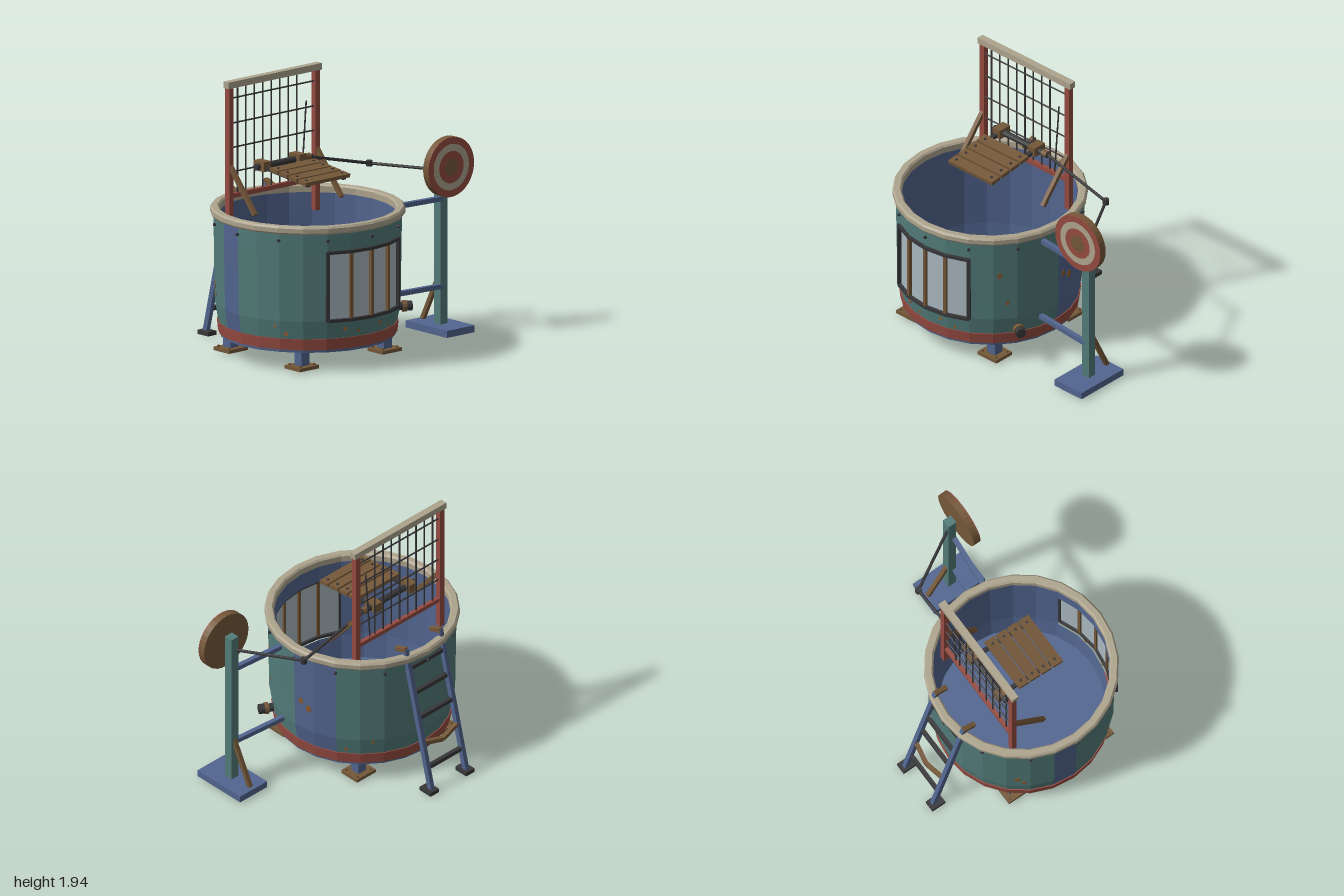
import * as THREE from 'three';

const mat = (name, color, side = THREE.FrontSide) => new THREE.MeshStandardMaterial({ name, color, side });
const V = (x, y, z) => new THREE.Vector3(x, y, z);
const DEG = Math.PI / 180;

export function createModel() {
  const teal = mat('teal paint', 0x527c79), blue = mat('blue paint', 0x52658f), red = mat('red paint', 0x954b41);
  const cream = mat('cream paint', 0xaea48e), brown = mat('brown wood', 0x755839), dark = mat('dark iron', 0x37373a);
  const pane = mat('window glass', 0xa9b8bf, THREE.DoubleSide), rust = mat('rust', 0x86592f);
  const root = new THREE.Group();
  const tank = new THREE.Group();
  tank.name = 'tank';
  tank.position.set(-0.32, 0, 0.115);
  root.add(tank);

  // Faceted mesh helper
  const add = (name, geo, m, parent = root) => {
    const g = geo.index ? geo.toNonIndexed() : geo;
    g.computeVertexNormals();
    const mesh = new THREE.Mesh(g, m);
    mesh.name = name;
    parent.add(mesh);
    return mesh;
  };
  const box = (name, w, h, d, x, y, z, m, parent) => {
    const b = add(name, new THREE.BoxGeometry(w, h, d), m, parent);
    b.position.set(x, y, z);
    return b;
  };
  // Square beam or round rod between two points
  const span = (name, geo, a, b, m) => {
    const s = add(name, geo, m);
    s.position.copy(a).add(b).multiplyScalar(0.5);
    s.lookAt(b);
    return s;
  };
  const beam = (name, a, b, w, h, m) => span(name, new THREE.BoxGeometry(w, h, a.distanceTo(b)), a, b, m);
  const rod = (name, a, b, r, m, n = 8) =>
    span(name, new THREE.CylinderGeometry(r, r, a.distanceTo(b), n).rotateX(Math.PI / 2), a, b, m);
  // Part of a 24-sided shell, angles in degrees from the front
  const shell = (name, pts, from, to, m) =>
    add(name, new THREE.LatheGeometry(pts.map(p => new THREE.Vector2(p[0], p[1])), (to - from) / 15,
      from * DEG, (to - from) * DEG), m, tank);
  // Put a mesh on the tank at an angle, facing outwards
  const onWall = (mesh, az, r, y) => {
    mesh.position.set(r * Math.sin(az * DEG), y, r * Math.cos(az * DEG));
    mesh.rotation.y = az * DEG;
    return mesh;
  };

  // Tank walls, with an opening for the window
  const outer = [[0.627, 0.23], [0.65, 0.37], [0.652, 0.5], [0.658, 0.87], [0.66, 1.01]];
  const inner = [[0.625, 1.01], [0.622, 0.87], [0.614, 0.37], [0.59, 0.18]];
  [[30, 90, teal], [90, 120, blue], [120, 255, teal], [255, 270, blue], [270, 330, teal]]
    .forEach(([a, b, m]) => shell('tankWall', outer, a, b, m));
  shell('tankInnerWall', inner, 30, 330, blue);
  shell('wallBelowWindow', outer.slice(0, 2), -30, 30, teal);
  shell('wallAboveWindow', outer.slice(3), -30, 30, teal);
  shell('innerWallAboveWindow', inner.slice(0, 2), -30, 30, blue);
  shell('innerWallBelowWindow', inner.slice(2), -30, 30, blue);
  shell('tankFloor', [[0, 0.14], [0.617, 0.14], [0.62, 0.17], [0.6, 0.18], [0, 0.18]], 0, 360, blue);
  shell('lowerBand', [[0.6, 0.16], [0.628, 0.16], [0.636, 0.24], [0.6, 0.24], [0.6, 0.16]], 0, 360, red);
  shell('rim', [[0.62, 1], [0.676, 1], [0.684, 1.012], [0.684, 1.043], [0.672, 1.057], [0.632, 1.057],
    [0.62, 1.045], [0.62, 1]], 0, 360, cream);

  // Window: panes, mullions and frame
  for (let i = 0; i < 5; i++) {
    const az = -30 + 15 * i, edge = i % 4 === 0;
    onWall(box('windowPost', 0.024, 0.5, 0.045, 0, 0, 0, edge ? dark : brown, tank), az, 0.653, 0.62);
    if (i === 4) break;
    onWall(box('windowPane', 0.168, 0.49, 0.008, 0, 0, 0, pane, tank), az + 7.5, 0.645, 0.62);
    for (const y of [0.375, 0.865])
      onWall(box('windowFrame', 0.177, 0.022, 0.05, 0, 0, 0, dark, tank), az + 7.5, 0.648, y);
  }

  // Bolts under the rim
  for (let i = 0; i < 12; i++)
    onWall(add('bolt', new THREE.CylinderGeometry(0.011, 0.011, 0.03, 8).rotateX(Math.PI / 2), dark, tank),
      i * 30, 0.66, 0.95);

  // Rust spots lie flat on their facet
  [[-18, 0.31, 0.018], [-8, 0.28, 0.013], [10, 0.31, 0.016], [-56, 0.28, 0.02], [-63, 0.33, 0.012], [49, 0.73, 0.022],
    [54, 0.5, 0.017], [95, 0.6, 0.024], [101, 0.56, 0.028], [126, 0.28, 0.016], [143, 0.35, 0.014],
    [232, 0.5, 0.028], [236, 0.44, 0.02], [20, 0.27, 0.012]].forEach(([az, y, s]) => {
    const mid = Math.floor(az / 15) * 15 + 7.5;
    const low = y < 0.37;
    const r = (low ? 0.627 + (y - 0.23) * 0.164 : 0.65 + (y - 0.37) * 0.016) * Math.cos(7.5 * DEG);
    const spot = onWall(add('rustSpot', new THREE.CylinderGeometry(s, s, 0.006, 7).rotateX(Math.PI / 2)
      .scale(0.85, 1.1, 1).rotateX(low ? -0.163 : -0.016), rust, tank), mid, r, y);
    const t = r * Math.tan((az - mid) * DEG);
    spot.position.x += t * Math.cos(mid * DEG);
    spot.position.z -= t * Math.sin(mid * DEG);
  });

  // Drain spout
  [[0.03, 0.64, 0.7, dark], [0.042, 0.675, 0.705, brown], [0.036, 0.7, 0.745, dark]].forEach(([s, a, b, m]) =>
    onWall(add('drainSpout', new THREE.CylinderGeometry(s, s, b - a, 12).rotateX(Math.PI / 2), m, tank),
      60, (a + b) / 2, 0.295));

  // Tank legs
  for (const x of [-0.39, 0.39]) for (const z of [-0.37, 0.37]) {
    box('tankLeg', 0.075, 0.12, 0.075, x, 0.09, z, blue, tank);
    box('tankFoot', 0.18, 0.025, 0.16, x, 0.0225, z, brown, tank);
    for (const s of [-1, 1]) for (const t of [-1, 1])
      add('footBolt', new THREE.CylinderGeometry(0.01, 0.01, 0.015, 6), brown, tank)
        .position.set(x + s * 0.065, 0.04, z + t * 0.055);
  }

  // Ladder
  const railZ = y => -0.5 - 0.245 * (1.08 - y);
  for (const x of [-0.485, -0.15]) {
    beam('ladderRail', V(x, 0.02, railZ(0.02)), V(x, 1.1, railZ(1.1)), 0.032, 0.04, blue);
    beam('ladderHook', V(x, 1.1, -0.51), V(x, 1.063, -0.41), 0.034, 0.03, brown);
    box('ladderFoot', 0.08, 0.03, 0.11, x + Math.sign(x + 0.32) * 0.005, 0.015, -0.745, dark);
  }
  for (const y of [0.95, 0.76, 0.57, 0.19])
    box('ladderRung', 0.32, 0.03, 0.03, -0.3175, y, railZ(y), dark);
  for (const x of [-0.48, -0.155])
    beam('brokenRung', V(x, 0.38, -0.675), V(-0.3175, 0.345, -0.7), 0.03, 0.03, brown);

  // Safety screen behind the seat
  for (const x of [-0.725, 0.09]) {
    box('screenPost', 0.042, 1.02, 0.042, x, 1.4, -0.252, red);
    beam('screenBrace', V(x, 1.34, -0.245), V(x, 1.03, 0.015), 0.03, 0.03, brown);
  }
  box('screenTop', 0.885, 0.047, 0.052, -0.317, 1.92, -0.252, cream);
  box('screenRail', 0.78, 0.032, 0.03, -0.317, 1.12, -0.252, red);
  for (let i = 0; i < 8; i++) {
    const x = -0.65 + i * 0.08;
    rod('screenBar', V(x, 1.13, -0.252), V(x, 1.9, -0.252), 0.006, dark, 6);
  }
  rod('bentBar', V(-0.045, 1.13, -0.25), V(-0.003, 1.69, -0.25), 0.006, dark, 6);
  for (const y of [1.29, 1.465, 1.64, 1.82])
    rod('screenCrossBar', V(-0.71, y, -0.252), V(0.075, y, -0.252), 0.006, dark, 6);

  // Hinged seat
  rod('seatAxle', V(-0.55, 1.31, -0.175), V(-0.04, 1.31, -0.175), 0.024, dark, 10);
  rod('axleCollar', V(-0.085, 1.31, -0.175), V(-0.04, 1.31, -0.175), 0.026, brown, 10);
  for (const x of [-0.485, -0.15]) {
    box('seatBracket', 0.068, 0.07, 0.105, x, 1.315, -0.175, brown);
    beam('seatArm', V(x, 1.305, -0.15), V(x, 1.255, 0.31), 0.03, 0.022, dark);
  }
  for (const z of [-0.01, 0.087, 0.185, 0.282]) {
    const y = 1.31 - (z + 0.01) * 0.12;
    box('seatPlank', 0.42, 0.026, 0.083, -0.3175, y, z, brown).rotation.x = 0.12;
    for (const x of [-0.485, -0.15])
      add('plankBolt', new THREE.CylinderGeometry(0.01, 0.01, 0.01, 8), dark).position.set(x, y + 0.014, z);
  }

  // Trigger linkage
  const joint = V(0.52, 1.17, -0.17);
  rod('triggerRod', V(-0.06, 1.31, -0.178), joint, 0.011, dark);
  rod('triggerLever', joint, V(0.78, 1.16, 0.28), 0.011, dark);
  add('triggerJoint', new THREE.CylinderGeometry(0.024, 0.024, 0.04, 10), dark).position.copy(joint);

  // Target stand
  box('standBase', 0.26, 0.05, 0.43, 0.78, 0.035, 0.28, blue);
  box('standPost', 0.066, 1.22, 0.066, 0.78, 0.66, 0.285, teal);
  beam('standBrace', V(0.78, 0.42, 0.28), V(0.78, 0.06, 0.1), 0.03, 0.03, brown);
  for (const [y, x] of [[0.96, 0.325], [0.33, 0.3]])
    beam('standArm', V(x, y, 0.265), V(0.77, y, 0.305), 0.034, 0.034, blue);

  // Target with painted rings
  rod('targetBoard', V(0.78, 1.2, 0.34), V(0.78, 1.2, 0.39), 0.215, brown, 32);
  [[0.215, 0.165, red], [0.165, 0.115, cream], [0.115, 0.062, red], [0.062, 0, brown]].forEach(([R, r, m], i) => {
    const s = new THREE.Shape().absarc(0, 0, R, 0, Math.PI * 2);
    if (r) s.holes.push(new THREE.Path().absarc(0, 0, r, 0, Math.PI * 2, true));
    add('targetRing', new THREE.ExtrudeGeometry(s, { depth: 0.006 + i * 0.001, bevelEnabled: false, curveSegments: 32 }), m)
      .position.set(0.78, 1.2, 0.39);
  });

  return root;
}
